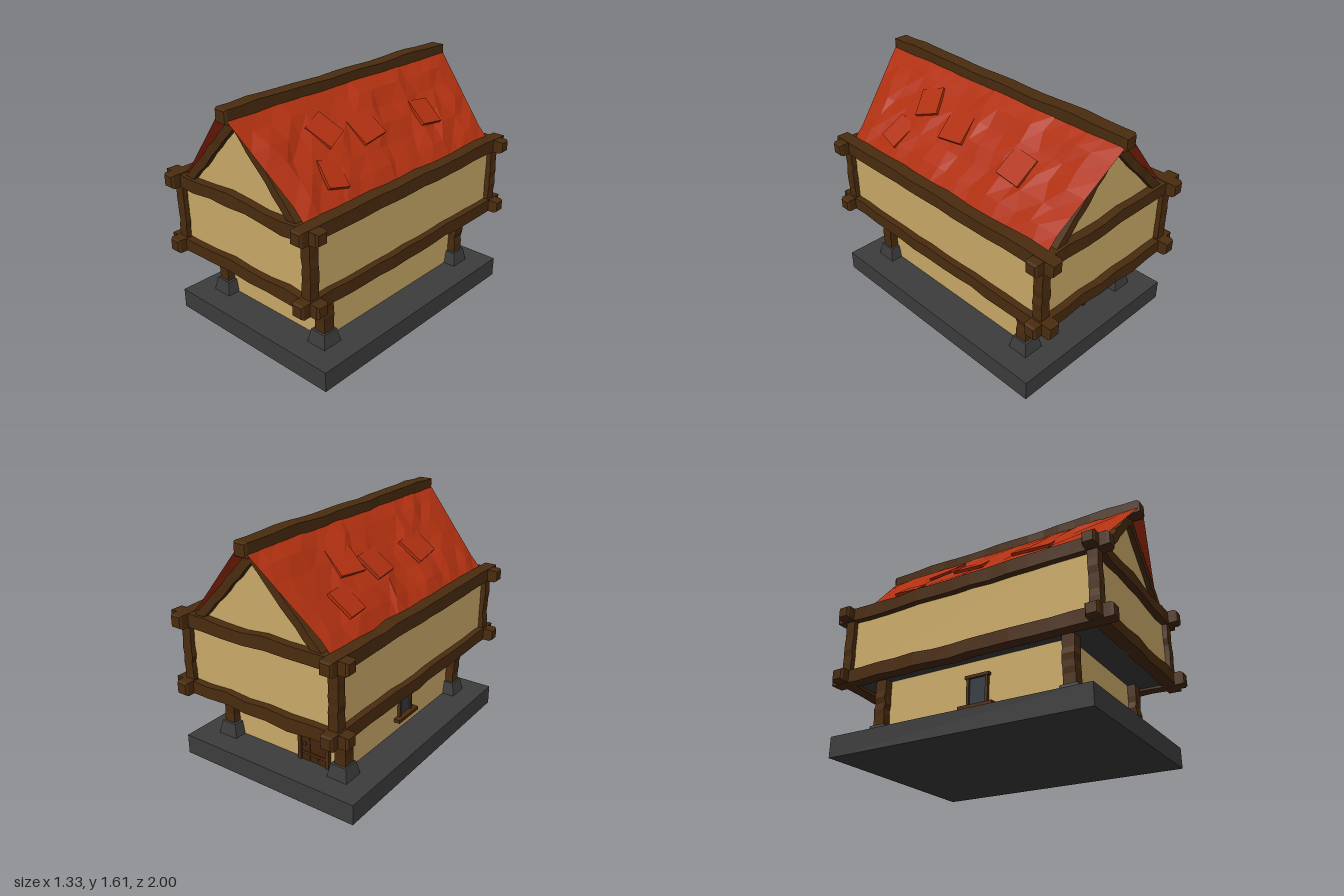
import * as THREE from 'three';

const mat = (name, color, side = THREE.FrontSide) => {
  const m = new THREE.MeshStandardMaterial({ color, side, flatShading: true });
  m.name = name;
  return m;
};
const hash = (a, b = 0, c = 0) => {
  const s = Math.sin(a * 12.9898 + b * 78.233 + c * 37.719) * 43758.5453;
  return (s - Math.floor(s)) * 2 - 1;
};

export function createModel() {
  const house = new THREE.Group();
  house.name = 'timberHouse';
  const stone = mat('stone', 0x3d3d3d);
  const plaster = mat('plaster', 0xcbab69);
  const wood = mat('wood', 0x4a2c0f);
  const doorWood = mat('doorWood', 0x44240c);
  const glass = mat('windowGlass', 0x343a42);
  const tiles = mat('roofTiles', 0xb03010, THREE.DoubleSide);

  const add = (name, geo, material, x = 0, y = 0, z = 0) => {
    const m = new THREE.Mesh(geo, material);
    m.name = name;
    m.position.set(x, y, z);
    house.add(m);
    return m;
  };
  const box = (name, material, w, h, d, x, y, z) =>
    add(name, new THREE.BoxGeometry(w, h, d), material, x, y, z);

  // Rough-hewn timber along x: rings shift up and down, chamfered ends
  let seed = 1;
  const timber = (len, h, d, segs, wobble) => {
    const g = new THREE.BoxGeometry(len, h, d, segs, 1, 1);
    const p = g.attributes.position;
    const k = seed++;
    for (let i = 0; i < p.count; i++) {
      const ring = Math.round((p.getX(i) / len + 0.5) * segs);
      const sy = Math.sign(p.getY(i)), sz = Math.sign(p.getZ(i));
      const fromEnd = Math.min(ring, segs - ring);
      const ends = [0, 0.015, 0.11];
      if (fromEnd < 3) {
        p.setX(i, (ring < segs / 2 ? -1 : 1) * (len / 2 - ends[fromEnd]));
      } else {
        const t = (ring - 2) / (segs - 4) - 0.5;
        p.setX(i, t * (len - 0.22));
      }
      const grow = fromEnd === 0 ? -0.009 : 0;
      const w = fromEnd < 3 ? 0 : wobble;
      p.setY(i, p.getY(i) + sy * grow + w * (hash(ring, k) + 0.5 * hash(ring, k, sy)));
      p.setZ(i, p.getZ(i) + sz * grow + w * 0.5 * hash(ring, k + 50, sz));
    }
    const flat = g.toNonIndexed();
    flat.computeVertexNormals();
    return flat;
  };

  // Plinth, walls and overhanging floor
  box('plinth', stone, 1.33, 0.135, 1.78, 0, 0.0675, 0);
  box('lowerWalls', plaster, 0.86, 0.41, 1.31, 0, 0.335, 0);
  box('overhangFloor', stone, 1.1, 0.02, 1.78, 0, 0.54, 0);
  box('upperWalls', plaster, 1.11, 0.46, 1.78, 0, 0.79, 0);

  // Gable wall, one triangle thick enough to fill the attic
  const tri = new THREE.Shape([[-0.5, 1.0], [0.5, 1.0], [0, 1.5]].map(a => new THREE.Vector2(...a)));
  add('gableWalls', new THREE.ExtrudeGeometry(tri, { depth: 1.76, bevelEnabled: false }), plaster, 0, 0, -0.88);

  // Corner posts and tapered stone footings
  for (const sx of [-1, 1]) for (const sz of [-1, 1]) {
    const foot = new THREE.CylinderGeometry(0.056 * Math.SQRT2, 0.073 * Math.SQRT2, 0.09, 4);
    foot.rotateY(Math.PI / 4);
    add('footing', foot, stone, sx * 0.443, 0.18, sz * 0.67);
    add('lowerPost', timber(0.38, 0.08, 0.08, 8, 0.009).rotateZ(Math.PI / 2), wood, sx * 0.447, 0.37, sz * 0.67);
    add('upperPost', timber(0.46, 0.068, 0.068, 9, 0.005).rotateZ(Math.PI / 2), wood, sx * 0.555, 0.785, sz * 0.89);
  }

  // Crossing beams on both levels
  for (const y of [0.557, 1.007]) for (const s of [-1, 1]) {
    add('crossBeam', timber(1.33, 0.083, 0.083, 11, 0.013), wood, 0, y, s * 0.897);
    add('sideBeam', timber(2, 0.088, 0.085, 17, 0.006).rotateY(Math.PI / 2), wood, s * 0.557, y, 0);
  }
  add('ridgeBeam', timber(2, 0.09, 0.094, 19, 0.007).rotateY(Math.PI / 2), wood, 0, 1.557, 0);

  // Gable rafters
  const pitch = Math.atan2(0.51, 0.49);
  for (const sx of [-1, 1]) for (const sz of [-1, 1]) {
    const r = add('gableRafter', timber(0.72, 0.056, 0.06, 11, 0.005), wood, sx * 0.245, 1.248, sz * 0.885);
    r.rotation.z = -sx * pitch;
  }

  // Uneven roof slopes, longer at the ridge than at the eaves
  const NZ = 16, NS = 6;
  for (const s of [-1, 1]) {
    const g = new THREE.PlaneGeometry(1, 1, NZ, NS);
    const p = g.attributes.position;
    for (let i = 0; i < p.count; i++) {
      const u = p.getX(i) * 2, t = 0.5 - p.getY(i);
      const iu = Math.round((u + 1) * NZ / 2), it = Math.round(t * NS);
      const edge = iu === 0 || iu === NZ || it === 0 || it === NS;
      const half = 0.89 + 0.105 * Math.max(0, 1 - t / 0.84);
      const lift = edge ? 0 : 0.012 + 0.014 * hash(iu, it, s + 3);
      const slide = edge ? 0 : 0.035 * hash(it, iu, s + 7);
      p.setXYZ(i,
        s * (0.03 + 0.5 * t + lift * 0.72),
        1.555 - 0.525 * t + lift * 0.69,
        -s * (u * half + slide));
    }
    const flat = g.toNonIndexed();
    flat.computeVertexNormals();
    add('roofSlope', flat, tiles);
  }

  // Loose slabs lifting at their lower edge: side, z, place on slope, width, yaw
  const slabs = [
    [-1, -0.55, 0.68, 0.17, 0.1], [-1, -0.36, 0.38, 0.2, -0.15], [-1, -0.12, 0.5, 0.2, 0.12], [-1, 0.36, 0.52, 0.26, 0.15],
    [1, -0.44, 0.52, 0.18, -0.1], [1, 0.11, 0.46, 0.2, 0.12], [1, 0.42, 0.36, 0.17, 0.4], [1, 0.54, 0.72, 0.15, -0.25],
  ];
  for (const [s, z, t, w, yaw] of slabs) {
    const m = add('roofSlab', new THREE.BoxGeometry(0.19, 0.02, w), tiles,
      s * (0.043 + 0.5 * t), 1.568 - 0.525 * t, z);
    m.rotation.set(0.06 * Math.sign(yaw), yaw, s * (0.13 - pitch), 'ZYX');
  }

  // Back door with planks, frame, braces and handle
  const dx = -0.22, dz = -0.655;
  for (let i = -1; i <= 1; i++)
    box('doorPlank', doorWood, 0.06, 0.235, 0.014, dx + i * 0.062, 0.252, dz - 0.007 - 0.002 * (i & 1));
  for (const s of [-1, 1])
    box('doorJamb', wood, 0.025, 0.24, 0.03, dx + s * 0.106, 0.255, dz - 0.012);
  box('doorLintel', wood, 0.275, 0.032, 0.045, dx, 0.382, dz - 0.018);
  for (const y of [0.19, 0.32]) box('doorBrace', wood, 0.18, 0.018, 0.008, dx, y, dz - 0.018);
  box('doorHandle', stone, 0.014, 0.022, 0.014, dx + 0.065, 0.255, dz - 0.02);

  // Side window with frame and sill
  const wx = -0.43, wz = 0.04;
  box('windowPane', glass, 0.008, 0.18, 0.12, wx - 0.004, 0.325, wz);
  for (const s of [-1, 1])
    box('windowJamb', wood, 0.022, 0.19, 0.018, wx - 0.01, 0.325, wz + s * 0.066);
  box('windowLintel', wood, 0.026, 0.02, 0.17, wx - 0.012, 0.425, wz);
  box('windowSill', wood, 0.05, 0.024, 0.24, wx - 0.02, 0.227, wz);

  return house;
}
